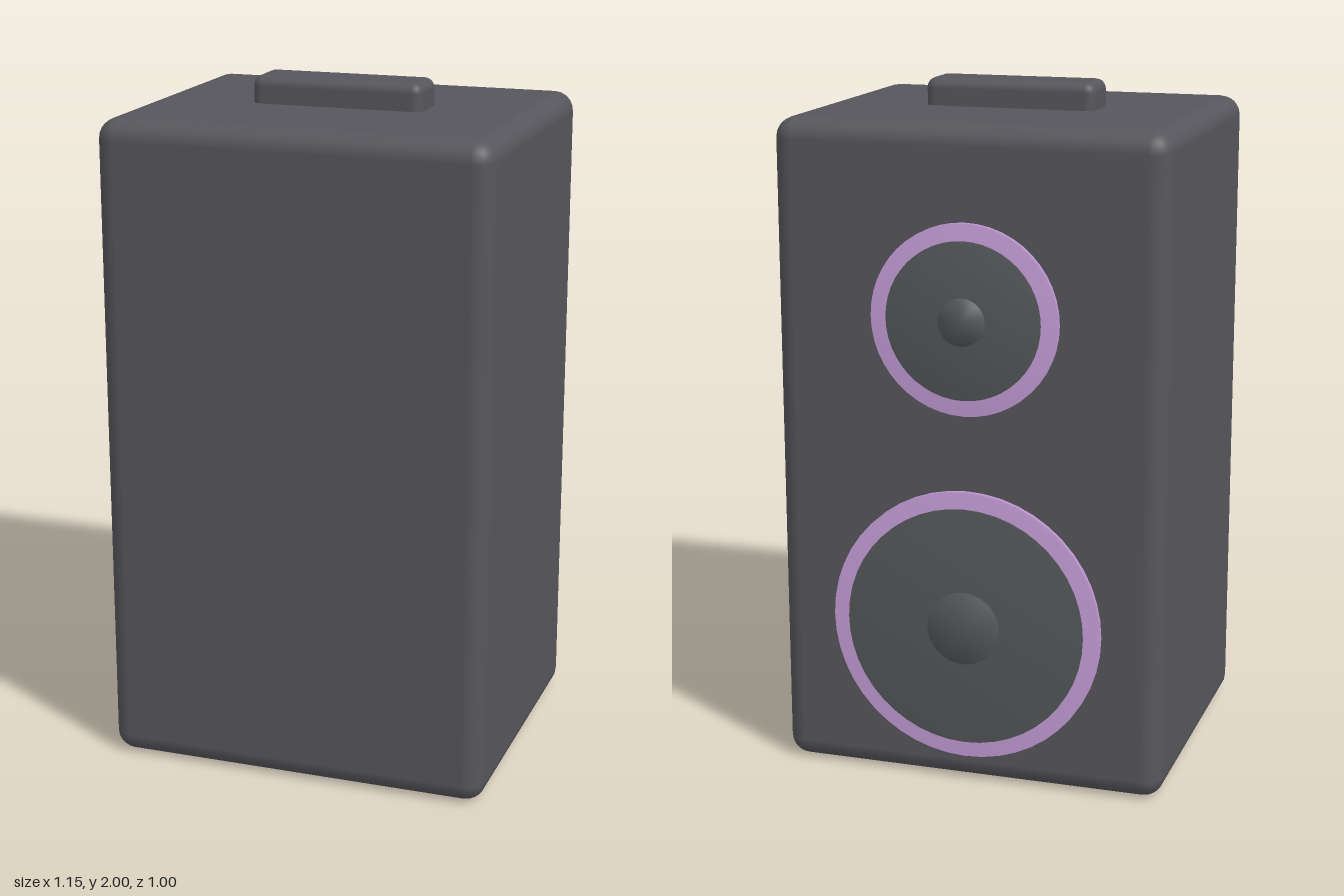
import * as THREE from 'three';
import { RoundedBoxGeometry } from 'three/addons/geometries/RoundedBoxGeometry.js';

export function createModel() {
  const material = (name, color) => {
    const m = new THREE.MeshStandardMaterial({ color });
    m.name = name;
    return m;
  };
  const casing = material('charcoal casing', 0x57565c);
  const lilac = material('lilac trim', 0xc9a0dc);
  const rubber = material('dark cone', 0x55585a);

  const model = new THREE.Group();
  model.name = 'loudspeaker';

  const add = (parent, name, geometry, mat, x, y, z) => {
    const mesh = new THREE.Mesh(geometry, mat);
    mesh.name = name;
    mesh.position.set(x, y, z);
    parent.add(mesh);
  };

  // Cabinet and the grip on its top
  add(model, 'cabinet', new RoundedBoxGeometry(1.15, 1.92, 0.955, 3, 0.06), casing, 0, 0.96, 0.0225);
  add(model, 'handle', new RoundedBoxGeometry(0.51, 0.11, 0.156, 3, 0.03), casing, 0, 1.945, 0.022);

  // Shallow disc facing -z, its normals softened towards the rim
  const disc = (radius, depth) => new THREE.LatheGeometry([
    new THREE.Vector2(radius, 0),
    new THREE.Vector2(radius, depth),
    new THREE.Vector2(0, depth),
  ], 48).rotateX(-Math.PI / 2);

  // Each driver is a stack of rim, cone and dust cap
  const addDriver = (name, y, rim, cone, cap) => {
    const driver = new THREE.Group();
    driver.name = name;
    driver.position.set(0, y, -0.45);
    add(driver, 'rim', disc(rim, 0.027), lilac, 0, 0, 0);
    add(driver, 'cone', disc(cone, 0.037), rubber, 0, 0, 0);
    add(driver, 'dustCap', disc(cap, 0.05), rubber, 0, 0, 0);
    model.add(driver);
  };
  addDriver('woofer', 0.483, 0.4, 0.352, 0.106);
  addDriver('tweeter', 1.38, 0.273, 0.225, 0.067);

  return model;
}
